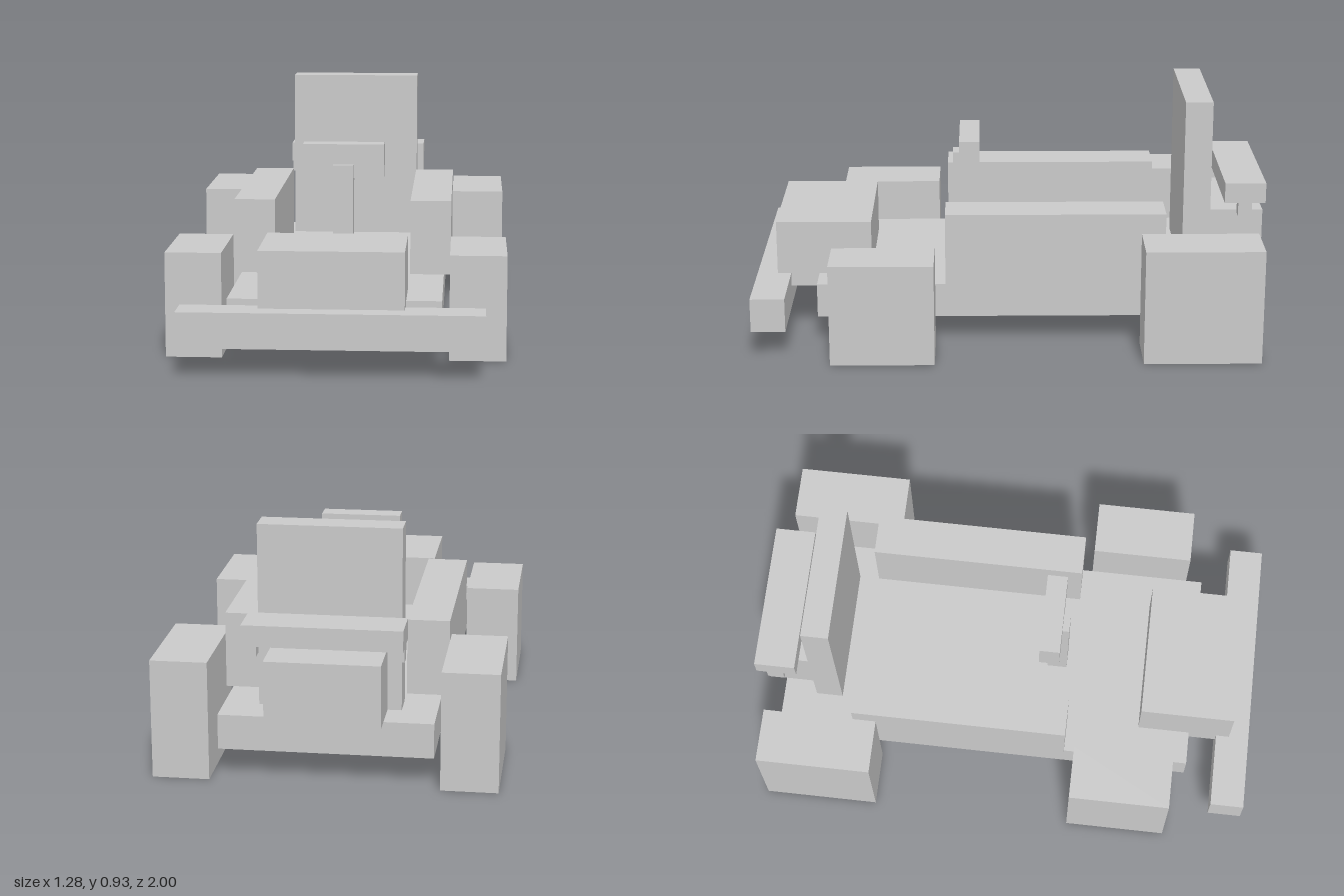
import * as THREE from 'three';

export function createModel() {
  const kart = new THREE.Group();
  kart.name = 'kart';
  const grey = new THREE.MeshStandardMaterial({ color: 0xcacaca });
  grey.name = 'plain light grey';

  // Box given by its extents on each axis
  function block(name, [x0, x1], [y0, y1], [z0, z1]) {
    const mesh = new THREE.Mesh(new THREE.BoxGeometry(x1 - x0, y1 - y0, z1 - z0), grey);
    mesh.position.set((x0 + x1) / 2, (y0 + y1) / 2, (z0 + z1) / 2);
    mesh.name = name;
    kart.add(mesh);
  }
  const centred = (name, halfWidth, y, z) => block(name, [-halfWidth, halfWidth], y, z);
  function pair(name, [x0, x1], y, z) {
    block(name + 'Left', [x0, x1], y, z);
    block(name + 'Right', [-x1, -x0], y, z);
  }

  // Chassis and bodywork
  centred('floor', 0.4, [0.107, 0.24], [-0.92, 0.755]);
  centred('frontBumper', 0.56, [0.107, 0.24], [0.867, 1]);
  centred('nose', 0.267, [0.187, 0.453], [0.547, 0.92]);
  pair('sidePod', [0.267, 0.427], [0.24, 0.533], [-0.6, 0.253]);

  // Wheels
  pair('frontWheel', [0.427, 0.64], [0, 0.4], [0.293, 0.693]);
  pair('rearWheel', [0.427, 0.64], [0, 0.453], [-0.96, -0.507]);

  // Cockpit
  centred('seatBack', 0.267, [0.24, 0.934], [-0.787, -0.68]);
  centred('steeringColumn', 0.04, [0.24, 0.667], [0.147, 0.227]);
  centred('steeringWheel', 0.16, [0.614, 0.747], [0.12, 0.2]);

  // Engine and rear wing
  centred('engine', 0.214, [0.24, 0.48], [-1, -0.787]);
  pair('wingSupport', [0.247, 0.293], [0.48, 0.534], [-0.947, -0.893]);
  centred('rearWing', 0.293, [0.534, 0.614], [-1, -0.84]);

  return kart;
}
